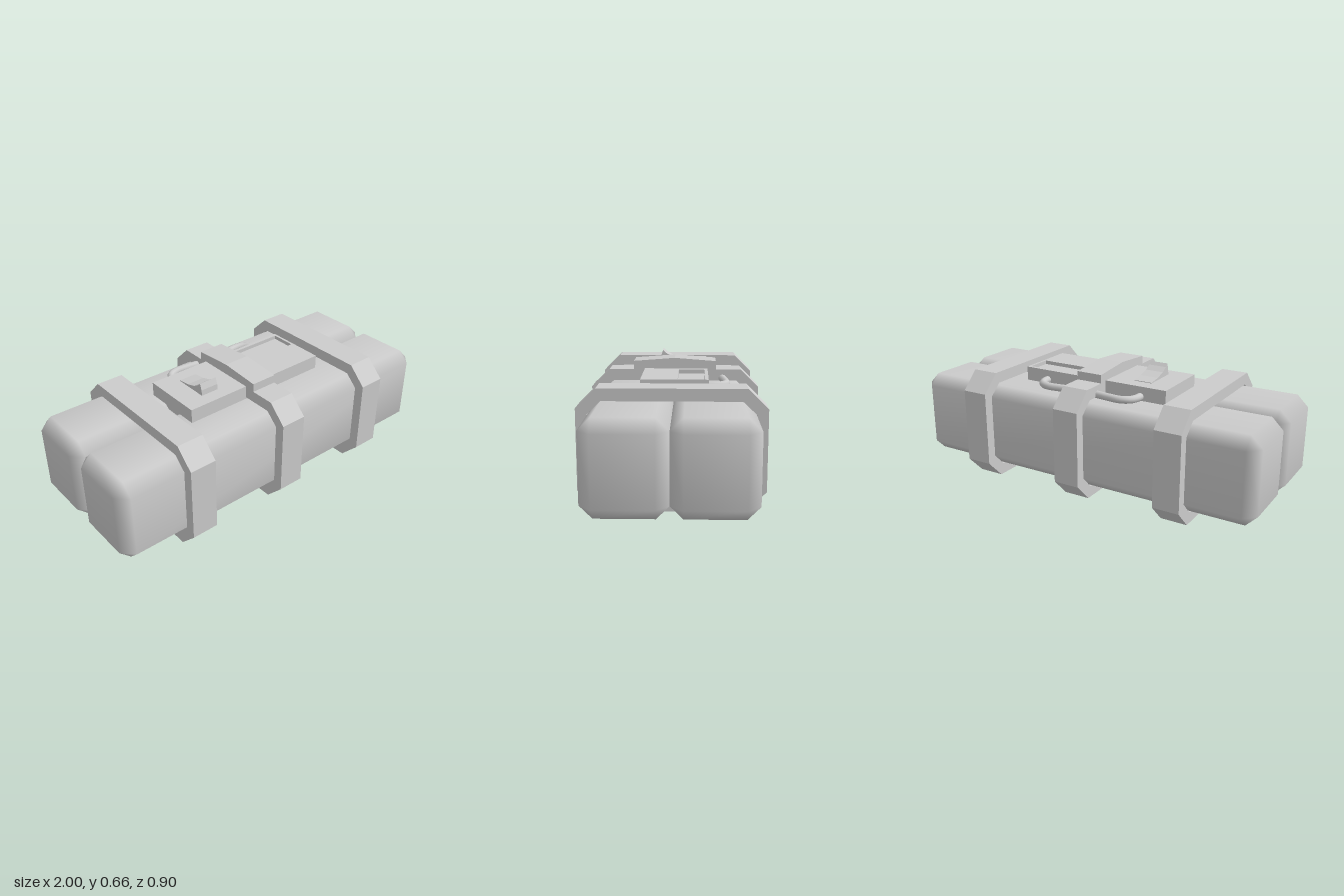
import * as THREE from 'three';
import { mergeVertices } from 'three/addons/utils/BufferGeometryUtils.js';
import { ConvexGeometry } from 'three/addons/geometries/ConvexGeometry.js';

const mat = new THREE.MeshStandardMaterial({ color: 0xcccccc });
const smoothMat = mat;

function add(parent, name, geometry, x = 0, y = 0, z = 0) {
  const mesh = new THREE.Mesh(geometry, smoothMat);
  mesh.name = name;
  mesh.position.set(x, y, z);
  parent.add(mesh);
  return mesh;
}

const points = (list) => list.map(([a, b]) => new THREE.Vector2(a, b));

// Extrude a (z, y) outline along x, centred on x = 0
function extrudeX(outline, width, hole) {
  const shape = new THREE.Shape(points(outline));
  if (hole) shape.holes.push(new THREE.Path(points(hole)));
  const g = new THREE.ExtrudeGeometry(shape, { depth: width, bevelEnabled: false });
  return g.rotateY(-Math.PI / 2).translate(width / 2, 0, 0);
}

// Box with chamfered edges and fully smoothed normals
function chamferedBox(w, h, d, c) {
  const pts = [];
  for (const sx of [-1, 1]) for (const sy of [-1, 1]) for (const sz of [-1, 1]) {
    const half = [w / 2, h / 2, d / 2];
    for (let outer = 0; outer < 3; outer++) {
      const p = half.map((v, i) => (i === outer ? v : v - c));
      pts.push(new THREE.Vector3(p[0] * sx, p[1] * sy, p[2] * sz));
    }
  }
  let g = new ConvexGeometry(pts);
  g.deleteAttribute('normal');
  g = mergeVertices(g);
  g.computeVertexNormals();
  return g;
}

export function createModel() {
  const model = new THREE.Group();
  model.name = 'strappedCanisters';

  // Two long padded canisters side by side
  const canister = chamferedBox(2, 0.453, 0.397, 0.06);
  add(model, 'frontCanister', canister, 0, 0.2985, 0.1985);
  add(model, 'backCanister', canister, 0, 0.2985, -0.1985);

  // Octagonal straps; the middle one steps up over the control box
  const hole = [[-0.33, 0.06], [0.33, 0.06], [0.397, 0.13], [0.397, 0.472],
    [0.33, 0.535], [-0.33, 0.535], [-0.397, 0.472], [-0.397, 0.13]];
  const lower = [[-0.353, 0], [0.353, 0], [0.45, 0.1], [0.45, 0.5], [0.353, 0.595]];
  const upper = [[-0.353, 0.595], [-0.45, 0.5], [-0.45, 0.1]];
  const hump = [[0.22, 0.595], [0.22, 0.64], [0, 0.657], [-0.22, 0.64], [-0.22, 0.595]];
  const strap = extrudeX([...lower, ...upper], 0.143, hole);
  add(model, 'rightStrap', strap, -0.58);
  add(model, 'leftStrap', strap, 0.573);
  add(model, 'middleStrap', extrudeX([...lower, ...hump, ...upper], 0.143, hole), -0.01);

  // Control box: solid base under a top plate with a recessed window
  const x0 = -0.43, x1 = 0.424, z0 = -0.175, z1 = 0.162;
  const box = new THREE.Group();
  box.name = 'controlBox';
  model.add(box);
  add(box, 'boxBase', new THREE.BoxGeometry(x1 - x0, 0.075, z1 - z0),
    (x0 + x1) / 2, 0.5425, (z0 + z1) / 2);
  const plate = new THREE.Shape(points([[x0, -z1], [x1, -z1], [x1, -z0], [x0, -z0]]));
  plate.holes.push(new THREE.Path(points([[0.106, 0.022], [0.106, 0.157], [0.41, 0.157], [0.41, 0.022]])));
  add(box, 'recessedTop',
    new THREE.ExtrudeGeometry(plate, { depth: 0.02, bevelEnabled: false }).rotateX(-Math.PI / 2),
    0, 0.58, 0);

  // Latch lever with a concave ramp
  add(box, 'latch', extrudeX([[-0.1, 0.59], [0.09, 0.59], [0.087, 0.63], [0.075, 0.664],
    [0.058, 0.648], [0.025, 0.628], [-0.03, 0.612], [-0.1, 0.603]], 0.1), -0.26);

  // Carrying handle behind the box
  const path = new THREE.CatmullRomCurve3(
    [[-0.287, -0.165], [-0.283, -0.215], [-0.262, -0.252], [-0.22, -0.27], [-0.15, -0.266],
      [-0.06, -0.255], [0.06, -0.255], [0.15, -0.266], [0.22, -0.27], [0.262, -0.252],
      [0.283, -0.215], [0.287, -0.165]].map(([x, z]) => new THREE.Vector3(x, 0, z)));
  add(model, 'handle', new THREE.TubeGeometry(path, 40, 0.02, 10), 0, 0.547, 0);

  return model;
}
